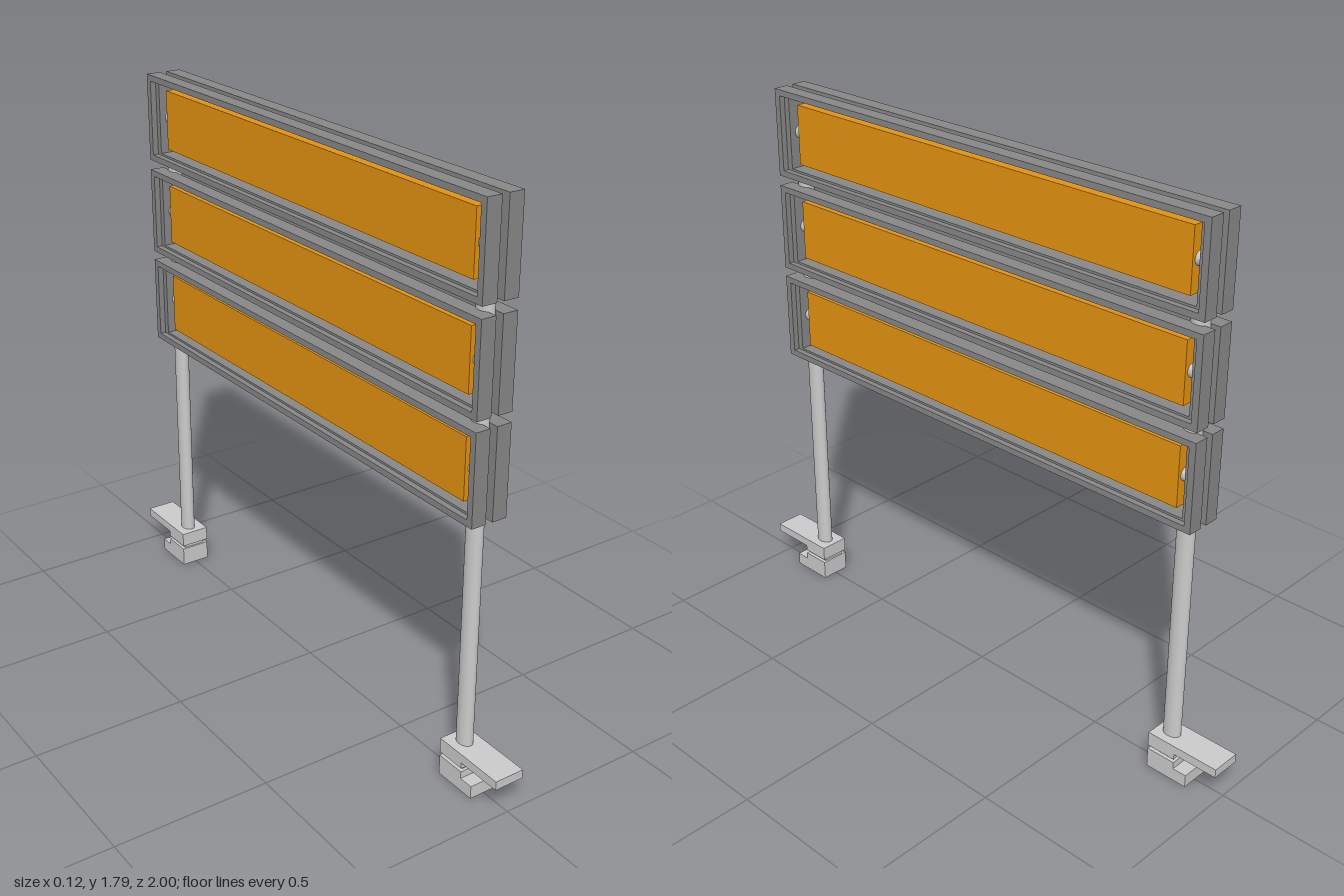
import * as THREE from 'three';

const steel = new THREE.MeshStandardMaterial({ color: 0xcccccc });
const frameGrey = new THREE.MeshStandardMaterial({ color: 0x888888 });
const orange = new THREE.MeshStandardMaterial({ color: 0xe59310 });

const HALF_LENGTH = 0.857, HEIGHT = 0.286;
const MODULE_CENTRES = [1.013, 1.33, 1.65];
const POST_Z = 0.8;

function add(parent, name, geometry, material) {
  const mesh = new THREE.Mesh(geometry, material);
  mesh.name = name;
  parent.add(mesh);
  return mesh;
}

// Box given by its limits on each axis
function box(parent, name, [x0, x1], [y0, y1], [z0, z1], material) {
  const mesh = add(parent, name, new THREE.BoxGeometry(x1 - x0, y1 - y0, z1 - z0), material);
  mesh.position.set((x0 + x1) / 2, (y0 + y1) / 2, (z0 + z1) / 2);
  return mesh;
}

function rectangle(path, halfW, halfH) {
  path.moveTo(-halfW, -halfH);
  path.lineTo(halfW, -halfH);
  path.lineTo(halfW, halfH);
  path.lineTo(-halfW, halfH);
  path.closePath();
  return path;
}

// Rectangular ring in the y-z plane, running from x0 to x1
function ring(halfW, halfH, sideBar, flatBar, x0, x1) {
  const shape = rectangle(new THREE.Shape(), halfW, halfH);
  shape.holes.push(rectangle(new THREE.Path(), halfW - sideBar, halfH - flatBar));
  const geometry = new THREE.ExtrudeGeometry(shape, { depth: x1 - x0, bevelEnabled: false });
  return geometry.rotateY(Math.PI / 2).translate(x0, 0, 0);
}

// One panel held by pins inside a pair of frames
function createPanelModule() {
  const group = new THREE.Group();
  group.name = 'panelModule';
  for (const side of [1, -1]) {
    const frame = new THREE.Group();
    frame.name = side > 0 ? 'leftFrame' : 'rightFrame';
    frame.rotation.y = side > 0 ? 0 : Math.PI;
    add(frame, 'frameBody', ring(HALF_LENGTH, HEIGHT / 2, 0.043, 0.027, 0.012, 0.042), frameGrey);
    add(frame, 'frameRim', ring(HALF_LENGTH, HEIGHT / 2, 0.022, 0.02, 0.042, 0.061), frameGrey);
    group.add(frame);
  }
  // thin web joining the two frames
  add(group, 'frameWeb', ring(0.82, HEIGHT / 2 - 0.019, 0.006, 0.008, -0.012, 0.012), frameGrey);
  add(group, 'panel', new THREE.BoxGeometry(0.064, 0.195, 1.57), orange);
  for (const side of [1, -1]) {
    const pin = add(group, 'pin', new THREE.CylinderGeometry(0.022, 0.022, 0.046, 20), steel);
    pin.rotation.x = Math.PI / 2;
    pin.position.z = side * 0.802;
  }
  return group;
}

// Oval post section between two heights
function postSection(parent, y0, y1) {
  const geometry = new THREE.CylinderGeometry(1, 1, y1 - y0, 32).scale(0.022, 1, 0.03);
  add(parent, 'postSection', geometry, steel).position.set(0, (y0 + y1) / 2, POST_Z);
}

// Post with its table clamp, at the front end
function createSupport() {
  const group = new THREE.Group();
  group.name = 'support';
  postSection(group, 0.1, MODULE_CENTRES[0] - HEIGHT / 2 + 0.02);
  for (let i = 0; i < 2; i++) {
    postSection(group, MODULE_CENTRES[i] + HEIGHT / 2 - 0.02, MODULE_CENTRES[i + 1] - HEIGHT / 2 + 0.02);
  }
  const wide = [-0.05, 0.05];
  box(group, 'clampPlate', wide, [0.096, 0.125], [0.75, 1], steel);
  box(group, 'clampUpperBlock', wide, [0.077, 0.096], [0.75, 0.848], steel);
  box(group, 'clampNeck', [-0.038, 0.038], [0.06, 0.08], [0.757, 0.838], steel);
  box(group, 'clampLowerBlock', wide, [0.042, 0.065], [0.75, 0.848], steel);
  box(group, 'clampFoot', wide, [0, 0.042], [0.75, 0.895], steel);
  return group;
}

export function createModel() {
  const model = new THREE.Group();
  model.name = 'panelStand';
  for (const y of MODULE_CENTRES) {
    const panelModule = createPanelModule();
    panelModule.position.y = y;
    model.add(panelModule);
  }
  for (const angle of [0, Math.PI]) {
    const support = createSupport();
    support.rotation.y = angle;
    model.add(support);
  }
  return model;
}
